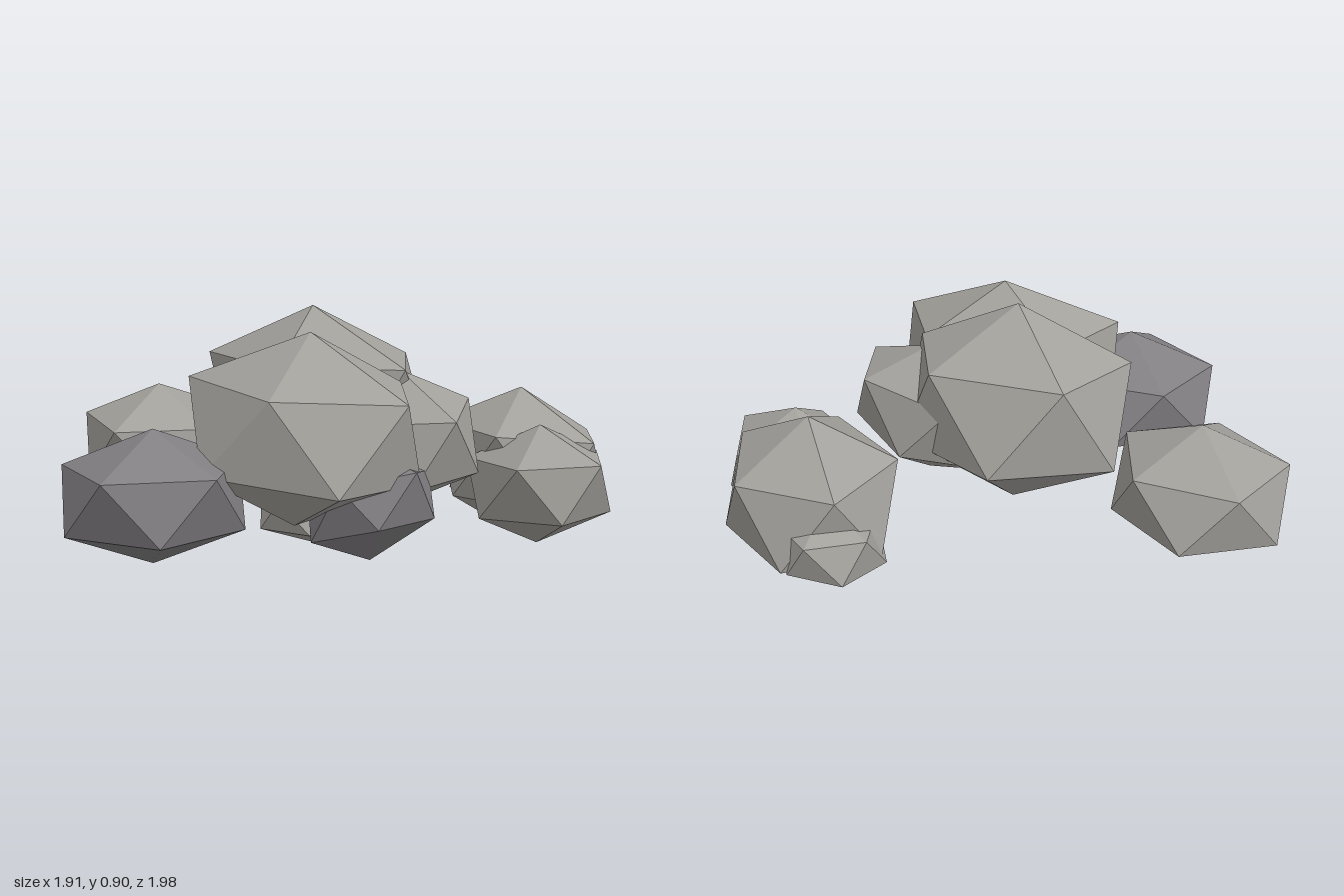
import * as THREE from 'three';

// Icosahedron standing on a corner, with an upper-ring corner towards +x
function baseStone() {
  const g = new THREE.IcosahedronGeometry(1, 0);
  g.rotateZ(Math.atan(2 / (1 + Math.sqrt(5))));
  g.rotateY(Math.PI);
  return g;
}

export function createModel() {
  const warm = new THREE.MeshStandardMaterial({ color: 0xa3a19c, flatShading: true });
  warm.name = 'warm grey stone';
  const dark = new THREE.MeshStandardMaterial({ color: 0x838083, flatShading: true });
  dark.name = 'dark grey stone';

  const group = new THREE.Group();
  group.name = 'rockPile';

  // Each rock: centre, then three half axes (sideways, up to the peak, forwards)
  const addRock = (name, material, centre, side, peak, forward) => {
    const m = new THREE.Matrix4().makeBasis(
      new THREE.Vector3(...side), new THREE.Vector3(...peak), new THREE.Vector3(...forward)
    ).setPosition(...centre);
    const g = baseStone().applyMatrix4(m);
    g.computeVertexNormals();
    const mesh = new THREE.Mesh(g, material);
    mesh.name = name;
    group.add(mesh);
  };

  // Outlying rocks
  addRock('sideRock', warm, [-0.605, 0.32, 0.158], [0.375, 0, 0.01], [0.015, 0.23, 0.025], [0.027, -0.01, 0.35]);
  addRock('frontRock', dark, [0.08, 0.315, 0.68], [0.36, 0.01, -0.03], [0.02, 0.24, 0.01], [0.02, 0, 0.345]);

  // Central heap
  addRock('tallRock', warm, [0.04, 0.555, -0.09], [0.463, 0, -0.06], [0.035, 0.35, 0.06], [-0.013, 0, 0.35]);
  addRock('broadRock', warm, [0.367, 0.54, 0.262], [0.485, -0.015, -0.076], [-0.035, 0.32, -0.065], [0, 0, 0.342]);
  addRock('backHeapRock', warm, [0.39, 0.455, -0.17], [0.395, 0.01, 0.08], [0, 0.245, 0.01], [-0.035, -0.03, 0.265]);
  addRock('lowHeapRock', dark, [0.555, 0.285, 0.12], [0.25, 0.08, 0], [0, 0.19, 0], [0, 0, 0.24]);
  addRock('baseRock', warm, [0.28, 0.23, 0.15], [0.18, 0, 0], [0, 0.125, 0], [0, 0, 0.22]);
  addRock('wedgedPebble', warm, [-0.02, 0.55, 0.2], [-0.11, 0, 0], [0, 0.09, 0], [0, 0, -0.1]);

  // Rear cluster
  addRock('rearRock', warm, [0.465, 0.295, -0.72], [0.385, 0, -0.01], [0.01, 0.29, 0.02], [0.025, 0.03, 0.32]);
  addRock('rearSideRock', warm, [0.68, 0.273, -0.58], [0.31, 0.02, -0.01], [0.02, 0.225, 0.022], [0.02, 0, 0.268]);
  addRock('rearPebble', warm, [0.27, 0.2, -0.81], [-0.205, 0, 0], [0.02, 0.15, 0], [0, 0, -0.205]);

  return group;
}
